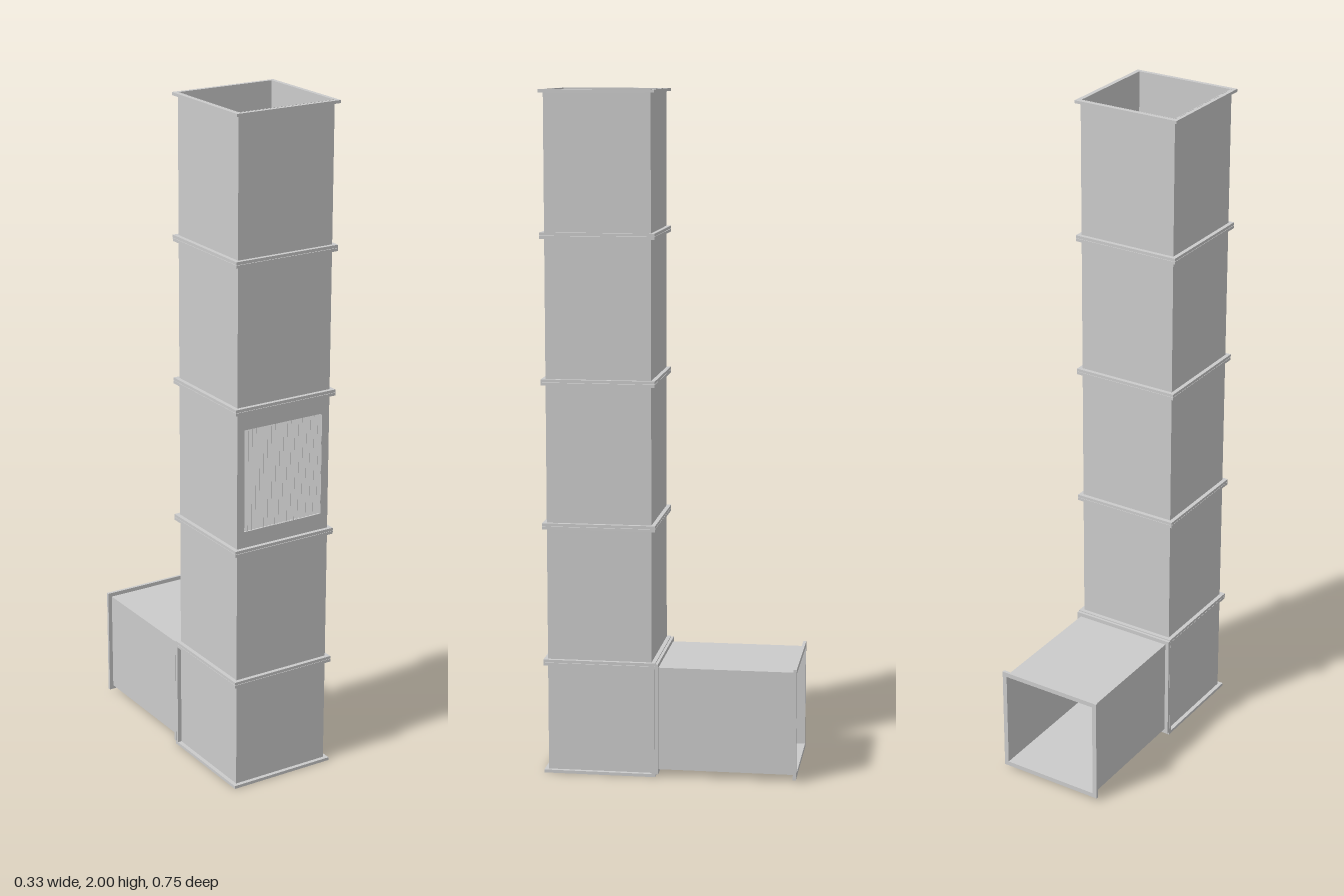
import * as THREE from 'three';

const WALL = 0.154;   // half width of the duct
const RIM = 0.166;    // half width of the flanges
const SHEET = 0.002;  // sheet metal thickness
const PLATE = 0.009;  // flange thickness
const COL_Z = 0.207;  // axis of the vertical shaft
const DUCT_Y = 0.175; // axis of the horizontal branch

const metal = new THREE.MeshStandardMaterial({ color: 0xcccccc, flatShading: true, side: THREE.DoubleSide });

function rect(target, x0, y0, x1, y1) {
  target.moveTo(x0, y0);
  target.lineTo(x1, y0);
  target.lineTo(x1, y1);
  target.lineTo(x0, y1);
  target.closePath();
  return target;
}

// Square ring extruded along +z
function ring(outer, inner, length) {
  const shape = rect(new THREE.Shape(), -outer, -outer, outer, outer);
  shape.holes.push(rect(new THREE.Path(), -inner, -inner, inner, inner));
  return new THREE.ExtrudeGeometry(shape, { depth: length, bevelEnabled: false });
}

export function createModel() {
  const model = new THREE.Group();

  function add(parent, name, geometry, x = 0, y = 0, z = 0) {
    const mesh = new THREE.Mesh(geometry, metal);
    mesh.name = name;
    mesh.position.set(x, y, z);
    parent.add(mesh);
    return mesh;
  }
  const box = (parent, name, w, h, d, x, y, z) =>
    add(parent, name, new THREE.BoxGeometry(w, h, d), x, y, z);
  // Ring standing upright on the shaft axis
  const upright = (name, outer, inner, y0, y1) =>
    add(model, name, ring(outer, inner, y1 - y0).rotateX(-Math.PI / 2), 0, y0, COL_Z);

  // Shaft sections, the second one replaced by the grille section
  const joints = [0.335, 0.743, 1.165, 1.587, 2];
  for (let i = 0; i < 4; i++) {
    if (i !== 1) upright('shaftSection', WALL, WALL - SHEET, joints[i], joints[i + 1]);
  }

  // Paired flanges at each joint, a single one at the top
  joints.forEach((y, i) => {
    upright('lowerFlange', RIM, WALL - SHEET, y - PLATE, y - 0.0005);
    if (i < 4) upright('upperFlange', RIM, WALL - SHEET, y + 0.0005, y + PLATE);
  });

  // Grille section: three plain walls and a front wall with an opening
  const y0 = joints[1], y1 = joints[2], h = y1 - y0, mid = (y0 + y1) / 2;
  const gx = 0.13, g0 = 0.8, g1 = 1.105;
  const section = new THREE.Group();
  section.name = 'grilleSection';
  model.add(section);
  for (const s of [-1, 1]) {
    box(section, 'sideWall', SHEET, h, 2 * WALL, s * (WALL - SHEET / 2), mid, COL_Z);
  }
  box(section, 'backWall', 2 * WALL, h, SHEET, 0, mid, COL_Z - WALL + SHEET / 2);
  const front = rect(new THREE.Shape(), -WALL, y0, WALL, y1);
  front.holes.push(rect(new THREE.Path(), -gx, g0, gx, g1));
  add(section, 'frontWall', new THREE.ExtrudeGeometry(front, { depth: SHEET, bevelEnabled: false }),
    0, 0, COL_Z + WALL - SHEET);

  // Grille frame and slanted vertical slats, set into the opening
  const frame = rect(new THREE.Shape(), -gx - 0.012, g0 - 0.012, gx + 0.012, g1 + 0.012);
  frame.holes.push(rect(new THREE.Path(), -gx, g0, gx, g1));
  add(section, 'grilleFrame', new THREE.ExtrudeGeometry(frame, { depth: 0.006, bevelEnabled: false }),
    0, 0, COL_Z + WALL - SHEET - 0.006);
  const slats = 20;
  for (let i = 0; i < slats; i++) {
    const x = -gx + (i + 0.5) * (2 * gx / slats);
    const slat = box(section, 'grilleSlat', 0.0015, g1 - g0, 0.021, x, (g0 + g1) / 2, COL_Z + WALL - 0.01);
    slat.rotation.y = 0.69;
  }

  // Base elbow: closed floor, front and sides, open to the rear
  const baseH = joints[0];
  for (const s of [-1, 1]) {
    box(model, 'baseSide', SHEET, baseH, 2 * WALL, s * (WALL - SHEET / 2), baseH / 2, COL_Z);
  }
  box(model, 'baseFront', 2 * WALL, baseH, SHEET, 0, baseH / 2, COL_Z + WALL - SHEET / 2);
  box(model, 'baseFloor', 2 * RIM, PLATE, 2 * RIM, 0, PLATE / 2, COL_Z);

  // Horizontal branch with its flanges
  const seam = 0.042, end = -0.373;
  add(model, 'branchDuct', ring(WALL, WALL - SHEET, seam - end), 0, DUCT_Y, end);
  add(model, 'branchEndFlange', ring(RIM, WALL - SHEET, PLATE), 0, DUCT_Y, end);
  add(model, 'branchJointFlange', ring(RIM, WALL - SHEET, PLATE - 0.0005), 0, DUCT_Y, seam - PLATE);
  const plate = rect(new THREE.Shape(), -RIM, 0, RIM, 0.343);
  const inner = WALL - SHEET;
  plate.holes.push(rect(new THREE.Path(), -inner, DUCT_Y - inner, inner, DUCT_Y + inner));
  add(model, 'baseJointFlange', new THREE.ExtrudeGeometry(plate, { depth: 0.01, bevelEnabled: false }),
    0, 0, seam + 0.0005);

  return model;
}
